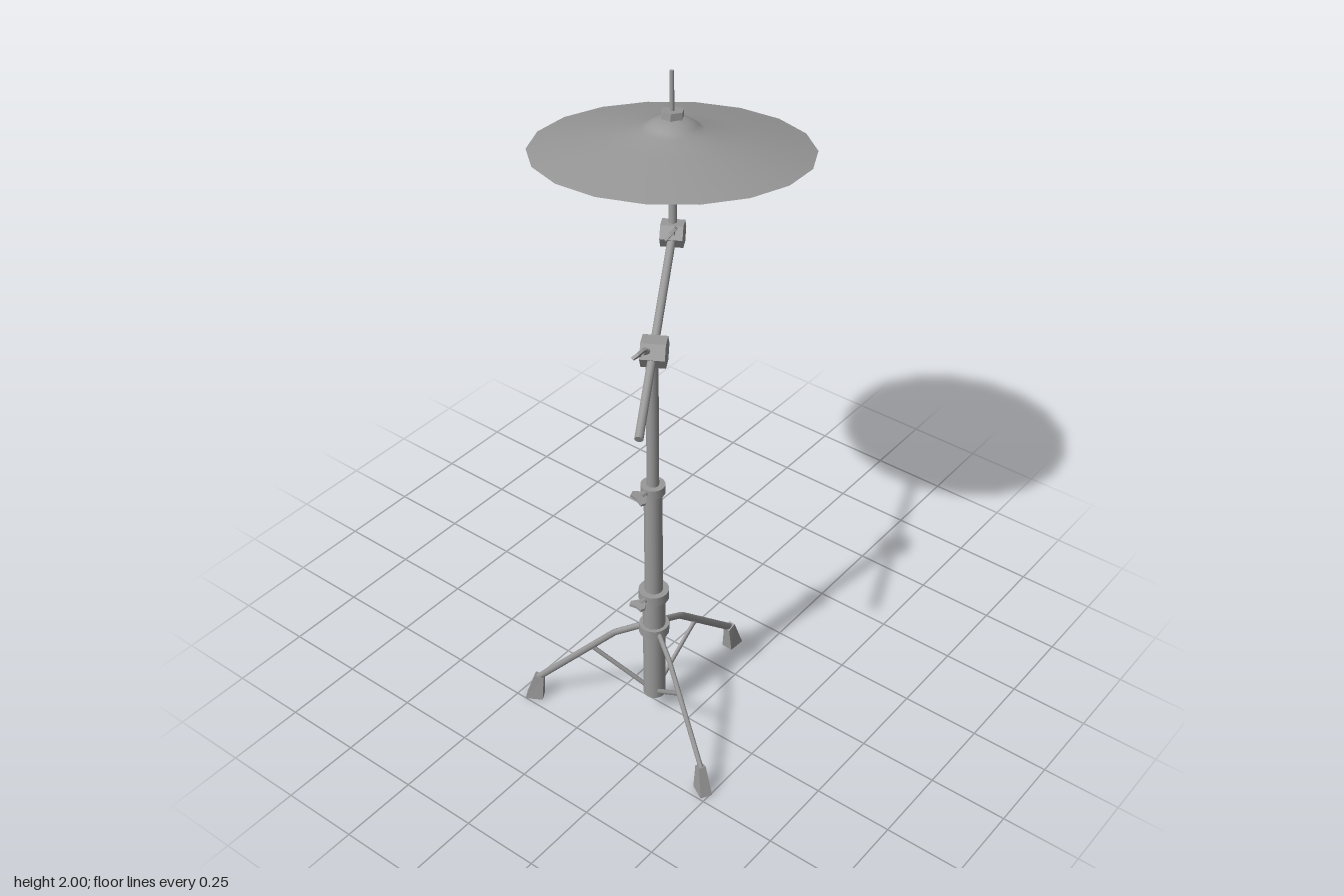
import * as THREE from 'three';

const V = (x, y, z) => new THREE.Vector3(x, y, z);
const UP = V(0, 1, 0);
const GREY = 0x999999;
const metal = new THREE.MeshStandardMaterial({ color: GREY });
const faceted = new THREE.MeshStandardMaterial({ color: GREY, flatShading: true });
const sheet = new THREE.MeshStandardMaterial({ color: GREY, side: THREE.DoubleSide });

function add(parent, name, geometry, material = metal) {
  const mesh = new THREE.Mesh(geometry, material);
  mesh.name = name;
  parent.add(mesh);
  return mesh;
}

// Cylinder running from point a to point b
function rod(parent, name, a, b, r, sides = 14, material = metal, theta = 0) {
  const dir = b.clone().sub(a);
  const mesh = add(parent, name, new THREE.CylinderGeometry(r, r, dir.length(), sides, 1, false, theta), material);
  mesh.position.copy(a).add(b).multiplyScalar(0.5);
  mesh.quaternion.setFromUnitVectors(UP, dir.normalize());
  return mesh;
}

// Wing screw: short stem along +z with a flat, flared thumb plate
function wingScrew(parent, name, position, target, roll) {
  const g = new THREE.Group();
  g.name = name;
  rod(g, 'screwStem', V(0, 0, -0.03), V(0, 0, 0.012), 0.009, 8);
  const s = new THREE.Shape();
  s.moveTo(-0.01, 0);
  s.lineTo(-0.027, 0.022);
  s.lineTo(-0.022, 0.037);
  s.lineTo(0, 0.032);
  s.lineTo(0.022, 0.037);
  s.lineTo(0.027, 0.022);
  s.lineTo(0.01, 0);
  const plate = add(g, 'thumbPlate',
    new THREE.ExtrudeGeometry(s, { depth: 0.009, bevelEnabled: false }).translate(0, 0, -0.0045), faceted);
  plate.rotation.x = Math.PI / 2;
  g.position.copy(position);
  g.lookAt(target);
  g.rotateZ(roll);
  parent.add(g);
}

// One tripod leg pointing along +x: flattened bent tube, brace and rubber foot
function makeLeg() {
  const leg = new THREE.Group();
  leg.name = 'leg';
  const path = [V(0.02, 0.343, 0), V(0.05, 0.34, 0), V(0.125, 0.304, 0), V(0.374, 0.082, 0)];
  const curve = new THREE.CurvePath();
  for (let i = 1; i < path.length; i++) curve.add(new THREE.LineCurve3(path[i - 1], path[i]));
  add(leg, 'legTube', new THREE.TubeGeometry(curve, 40, 0.012, 8)).scale.z = 0.65;
  rod(leg, 'legBrace', V(0.02, 0.085, 0), V(0.2, 0.238, 0), 0.008, 8).scale.z = 0.75;

  const foot = new THREE.BoxGeometry(0.056, 0.088, 0.038);
  const p = foot.attributes.position;
  for (let i = 0; i < p.count; i++) {
    if (p.getY(i) > 0) p.setXYZ(i, p.getX(i) * 0.5 - 0.018, p.getY(i) + p.getX(i) * 0.2, p.getZ(i) * 0.6);
  }
  add(leg, 'foot', foot, faceted).position.set(0.388, 0.044, 0);
  return leg;
}

export function createModel() {
  const model = new THREE.Group();
  model.name = 'cymbalStand';

  // Tripod base and telescopic column
  const base = new THREE.Group();
  base.name = 'base';
  base.position.set(0.134, 0, 0.274);
  model.add(base);
  for (const deg of [29.5, 149.5, -87]) {
    const leg = makeLeg();
    leg.rotation.y = -THREE.MathUtils.degToRad(deg);
    base.add(leg);
  }
  const column = [
    ['lowerTube', 0.07, 0.48, 0.035],
    ['middleTube', 0.48, 0.89, 0.028],
    ['upperTube', 0.88, 1.35, 0.0185],
    ['legCollar', 0.329, 0.361, 0.047],
    ['lowerClamp', 0.467, 0.499, 0.047],
    ['upperClamp', 0.874, 0.904, 0.037],
  ];
  for (const [name, y0, y1, r] of column) rod(base, name, V(0, y0, 0), V(0, y1, 0), r, 16);
  wingScrew(model, 'lowerWingScrew', V(0.134, 0.483, 0.328), V(0.134, 0.483, 1), 0);
  wingScrew(model, 'upperWingScrew', V(0.134, 0.892, 0.318), V(0.134, 0.892, 1), -0.4);

  // Boom arm with two hexagonal tilter joints
  const pivot = V(0.134, 1.366, 0.263), tilter = V(-0.07, 1.511, -0.081);
  const across = V(0.866, 0, -0.5);
  rod(model, 'boomArm', V(0.273, 1.268, 0.506), tilter, 0.0125);
  for (const [name, c, r, half] of [['boomJoint', pivot, 0.046, 0.036], ['tilterJoint', tilter, 0.041, 0.034]]) {
    const a = c.clone().addScaledVector(across, -half), b = c.clone().addScaledVector(across, half);
    rod(model, name, a, b, r, 6, faceted, Math.PI / 6);
  }
  wingScrew(model, 'boomWingScrew', V(0.139, 1.393, 0.315), V(0.17, 1.5, 0.6), 0.9);
  wingScrew(model, 'tilterWingScrew', V(-0.044, 1.537, -0.042), V(0.2, 1.78, 0.37), 0.9);

  // Tilted cymbal post
  const top = V(-0.109, 2, -0.127);
  const post = top.clone().sub(tilter);
  const at = (t) => tilter.clone().addScaledVector(post, t);
  rod(model, 'cymbalPost', tilter, at(0.64), 0.0125);
  rod(model, 'cymbalPostTip', at(0.6), top, 0.0065, 8);

  // Cymbal: shallow bow with a raised bell, plus felt and nut
  const cymbal = new THREE.Group();
  cymbal.name = 'cymbal';
  cymbal.position.set(-0.091, 1.766, -0.105);
  cymbal.quaternion.setFromUnitVectors(UP, V(-0.076, 1, -0.114).normalize());
  model.add(cymbal);
  const profile = [[0.416, 0], [0.31, 0.022], [0.2, 0.043], [0.094, 0.062], [0.076, 0.076], [0.055, 0.089], [0.03, 0.097], [0.008, 0.098]]
    .map(([r, y]) => new THREE.Vector2(r, y));
  add(cymbal, 'cymbalDisc', new THREE.LatheGeometry(profile, 18, Math.PI / 2 - 0.03), sheet);
  rod(cymbal, 'cymbalNut', V(0, 0.095, 0), V(0, 0.118, 0), 0.035, 6, faceted, Math.PI / 6);
  rod(cymbal, 'lowerFelt', V(0, 0.07, 0), V(0, 0.09, 0), 0.025, 12);

  return model;
}
